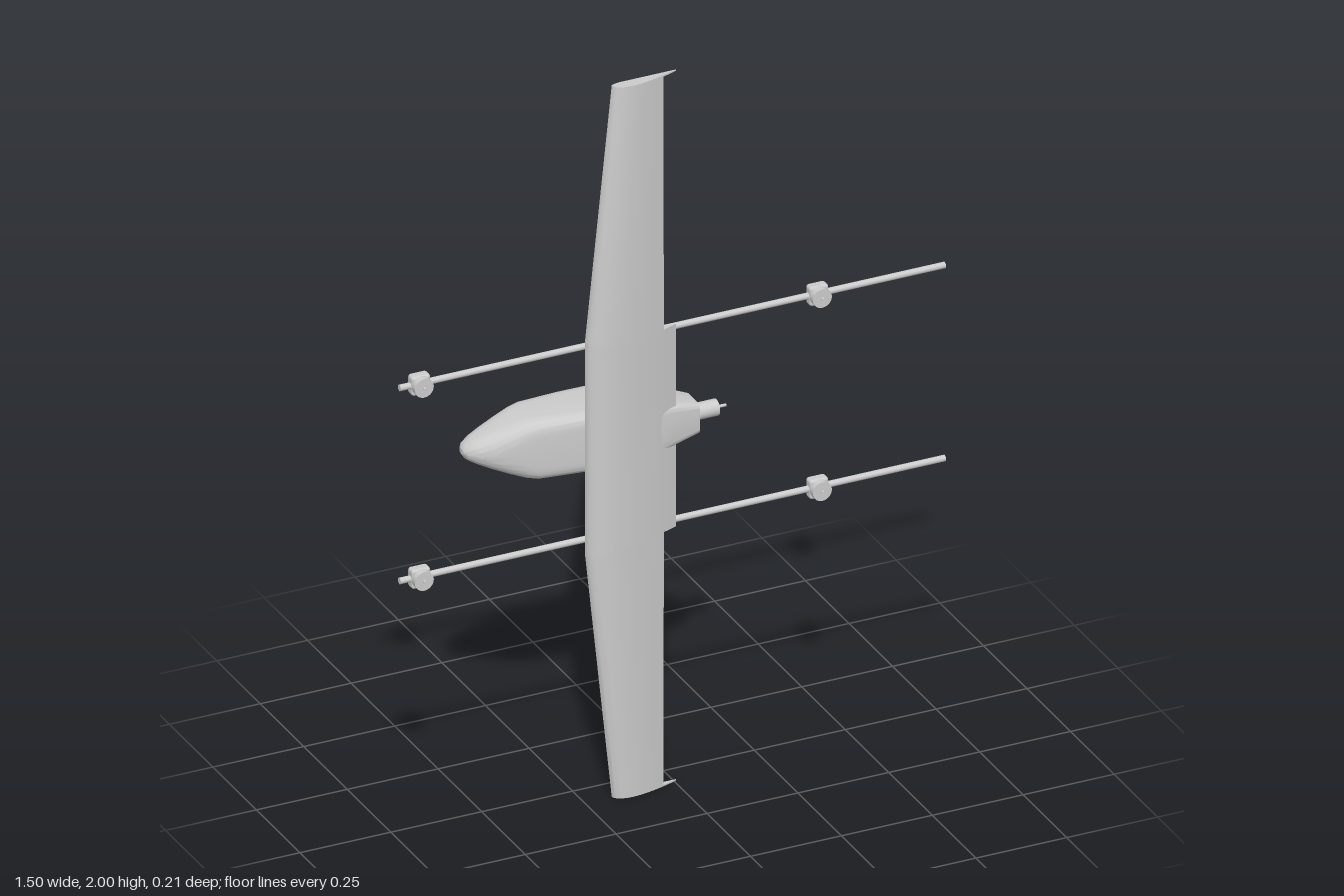
import * as THREE from 'three';
import { toCreasedNormals } from 'three/addons/utils/BufferGeometryUtils.js';
import { RoundedBoxGeometry } from 'three/addons/geometries/RoundedBoxGeometry.js';

const material = new THREE.MeshStandardMaterial({ color: 0xcccccc });

function addMesh(parent, name, geometry, x = 0, y = 0, z = 0) {
  const mesh = new THREE.Mesh(geometry, material);
  mesh.name = name;
  mesh.position.set(x, y, z);
  parent.add(mesh);
  return mesh;
}

// Skin a list of equal-length rings and close both ends.
function loft(rings, crease = 0.6) {
  const n = rings[0].length;
  const points = rings.flat();
  const index = [];
  for (let i = 0; i < rings.length - 1; i++) {
    for (let j = 0; j < n; j++) {
      const a = i * n + j, b = i * n + (j + 1) % n;
      index.push(a, b, a + n, b, b + n, a + n);
    }
  }
  [0, rings.length - 1].forEach((r, end) => {
    const centre = new THREE.Vector3();
    rings[r].forEach((p) => centre.addScaledVector(p, 1 / n));
    const c = points.push(centre) - 1;
    for (let j = 0; j < n; j++) {
      const a = r * n + j, b = r * n + (j + 1) % n;
      if (end) index.push(c, a, b);
      else index.push(c, b, a);
    }
  });
  const geometry = new THREE.BufferGeometry().setFromPoints(points);
  geometry.setIndex(index);
  return toCreasedNormals(geometry, crease);
}

// Flat-bottomed aerofoil at span position y, cut off at x = cut.
const TRAILING = 0.005;
function wingSection(y, cut) {
  const d = Math.abs(y - 1);
  const lead = -0.25 + 0.075 * Math.max(0, (d - 0.3) / 0.7);
  const chord = TRAILING - lead;
  const height = 0.045 * chord / 0.255;
  const sCut = (cut - lead) / chord;
  const steps = 14;
  const upper = [], lower = [];
  for (let i = 0; i <= steps; i++) {
    const s = sCut * (i / steps) ** 2;
    const f = 10 * (0.2969 * Math.sqrt(s) - 0.126 * s - 0.3516 * s ** 2 + 0.2843 * s ** 3 - 0.1015 * s ** 4);
    const x = lead + s * chord;
    upper.push(new THREE.Vector3(x, y, 0.06 + height * (0.82 * f + 0.25 * (1 - s))));
    if (i) lower.unshift(new THREE.Vector3(x, y, 0.06 + height * 0.25 * Math.max(0, 1 - Math.sqrt(s) / 0.35)));
  }
  return [...upper, ...lower];
}

// Rounded-box body section: station x, low z, high z, half width, squareness.
function bodySection([x, low, high, half, power]) {
  const ring = [];
  const count = 48;
  const bend = (v) => Math.sign(v) * Math.abs(v) ** (2 / power);
  for (let j = 0; j < count; j++) {
    const a = (j / count) * Math.PI * 2;
    ring.push(new THREE.Vector3(x, 1 + half * bend(Math.cos(a)),
      (low + high) / 2 + (high - low) / 2 * bend(Math.sin(a))));
  }
  return ring;
}

export function createModel() {
  const model = new THREE.Group();
  model.name = 'aircraft';

  // Wing: full-chord centre, cut-back outer panels and thin full-chord tips
  const wing = new THREE.Group();
  wing.name = 'wing';
  model.add(wing);
  const panel = (name, ys, cut) => addMesh(wing, name, loft(ys.map((y) => wingSection(y, cut))));
  panel('wingCentre', [0.715, 1.285], TRAILING);
  panel('upperWingPanel', [1.285, 1.3, 1.996], -0.035);
  panel('lowerWingPanel', [0.004, 0.7, 0.715], -0.035);
  panel('upperWingTip', [1.996, 2], TRAILING);
  panel('lowerWingTip', [0, 0.004], TRAILING);

  // Fuselage
  addMesh(model, 'fuselage', loft([
    [-0.535, -0.055, -0.03, 0.008, 2],
    [-0.527, -0.07, -0.015, 0.02, 2.1],
    [-0.505, -0.083, 0.002, 0.033, 2.4],
    [-0.47, -0.092, 0.02, 0.049, 2.8],
    [-0.43, -0.097, 0.034, 0.065, 3.5],
    [-0.39, -0.1, 0.044, 0.079, 4.5],
    [-0.36, -0.102, 0.051, 0.084, 5.5],
    [-0.25, -0.105, 0.064, 0.084, 6.5],
    [-0.15, -0.104, 0.075, 0.084, 6.5],
    [-0.06, -0.1, 0.08, 0.076, 6.5],
    [0, -0.063, 0.07, 0.06, 6.5],
    [0.072, -0.019, 0.06, 0.042, 7],
  ].map(bodySection), 0.5));

  // Rear motor and shaft
  const alongX = (r, length, sides) => new THREE.CylinderGeometry(r, r, length, sides).rotateZ(Math.PI / 2);
  addMesh(model, 'rearMotor', alongX(0.022, 0.066, 28), 0.104, 1, 0.018);
  addMesh(model, 'rearShaft', alongX(0.004, 0.03, 12), 0.148, 1, 0.018);

  // Lift booms, each with two motor mounts
  for (const [side, y] of [['upper', 1.273], ['lower', 0.73]]) {
    const boom = new THREE.Group();
    boom.name = side + 'Boom';
    model.add(boom);
    addMesh(boom, 'boomTube', alongX(0.0085, 1.5, 20), 0, y, 0.049);
    for (const x of [-0.695, 0.4]) {
      addMesh(boom, 'motorMount', new RoundedBoxGeometry(0.052, 0.054, 0.03, 3, 0.008), x, y, 0.048);
      const alongZ = (r, length) => new THREE.CylinderGeometry(r, r, length, 28).rotateX(Math.PI / 2);
      addMesh(boom, 'liftMotor', alongZ(0.026, 0.018), x, y, 0.069);
      addMesh(boom, 'liftShaft', alongZ(0.004, 0.012), x, y, 0.081);
    }
  }
  return model;
}
